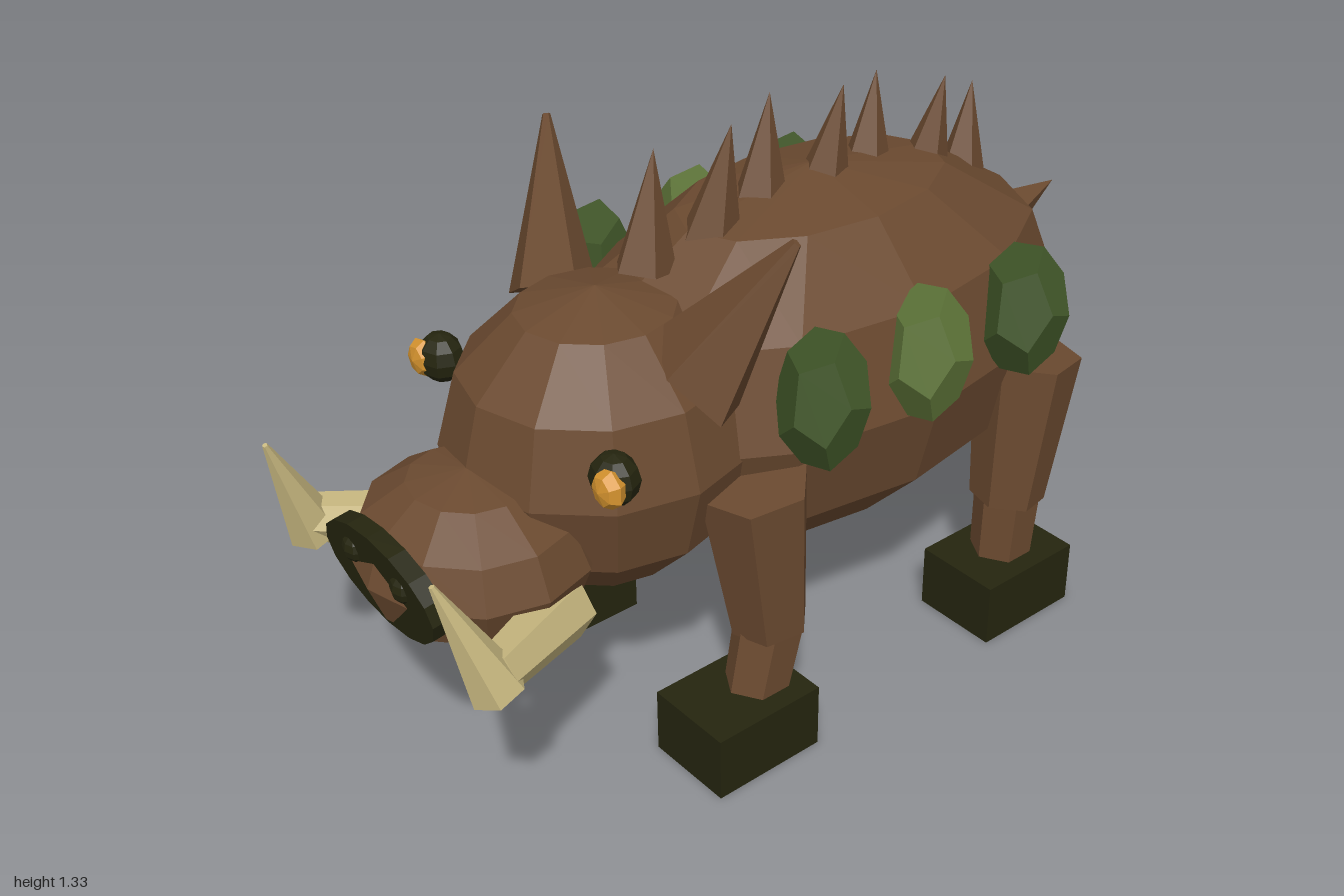
import * as THREE from 'three';

const V = (x, y, z) => new THREE.Vector3(x, y, z);

function material(name, color) {
  const m = new THREE.MeshStandardMaterial({ color });
  m.name = name;
  return m;
}

// Faceted normals for the low-poly look
function facet(geometry) {
  const g = geometry.index ? geometry.toNonIndexed() : geometry;
  g.computeVertexNormals();
  return g;
}

export function createModel() {
  const hide = material('brown hide', 0x6b4a30);
  const dark = material('dark hoof', 0x25250f);
  const moss = material('dark moss', 0x3d5226);
  const lightMoss = material('light moss', 0x5a7036);
  const ivory = material('ivory', 0xc8b880);
  const gold = material('gold eye', 0xd6942f);

  const model = new THREE.Group();
  model.name = 'boar';
  const boar = new THREE.Group();
  boar.name = 'boarParts';
  boar.position.x = -0.01;
  model.add(boar);

  function add(name, geometry, mat, pos) {
    const mesh = new THREE.Mesh(facet(geometry), mat);
    mesh.name = name;
    mesh.position.copy(pos);
    boar.add(mesh);
    return mesh;
  }

  const ball = (name, mat, pos, rx, ry, rz, w = 12, h = 6) =>
    add(name, new THREE.SphereGeometry(1, w, h).scale(rx, ry, rz), mat, pos);

  // Tapered limb from a to b; a zero end radius makes a spike
  function limb(name, mat, a, b, ra, rb, sides, flat = 1) {
    const dir = b.clone().sub(a);
    const geo = new THREE.CylinderGeometry(rb, ra, dir.length(), sides);
    geo.scale(1, 1, flat);
    const mesh = add(name, geo, mat, a.clone().add(b).multiplyScalar(0.5));
    mesh.quaternion.setFromUnitVectors(V(0, 1, 0), dir.normalize());
    return mesh;
  }

  // Trunk, head and snout
  ball('body', hide, V(0, 0.72, -0.2), 0.41, 0.43, 0.7);
  ball('head', hide, V(0, 0.712, 0.39), 0.33, 0.337, 0.345);
  ball('snout', hide, V(0, 0.57, 0.72), 0.27, 0.182, 0.25);

  // Nose pad and nostrils
  const pad = new THREE.CylinderGeometry(1, 1, 0.04, 16).rotateX(Math.PI / 2).scale(0.2, 0.112, 1);
  add('nosePad', pad, dark, V(0, 0.58, 0.925)).rotation.x = 0.13;

  // Spines along the back, alternately offset
  const spineTips = [1.285, 1.315, 1.325, 1.32, 1.295, 1.26, 1.19];
  spineTips.forEach((y, i) => {
    const z = 0.21 - i * 0.155;
    const side = i % 2 ? 1 : -1;
    limb('spine' + (i + 1), hide, V(side * 0.012, y - 0.25, z + 0.045), V(side * 0.03, y, z), 0.068, 0, 5);
  });

  limb('tail', hide, V(0, 0.825, -0.8), V(0, 0.865, -1), 0.07, 0, 5);

  for (const s of [1, -1]) {
    const tag = s > 0 ? 'left' : 'right';

    ball(tag + 'Nostril', dark, V(s * 0.09, 0.61, 0.94), 0.032, 0.032, 0.025, 8, 6);

    // Eye socket and iris
    ball(tag + 'EyeSocket', dark, V(s * 0.305, 0.82, 0.58), 0.056, 0.056, 0.05, 8, 6);
    const iris = new THREE.SphereGeometry(1, 7, 4).rotateX(Math.PI / 2).scale(0.042, 0.045, 0.028);
    add(tag + 'Iris', iris, gold, V(s * 0.327, 0.82, 0.61));

    limb(tag + 'Ear', hide, V(s * 0.245, 0.92, 0.33), V(s * 0.405, 1.24, 0.21), 0.135, 0.012, 5, 0.6);

    // Tusk: thick root and upturned point
    limb(tag + 'TuskRoot', ivory, V(s * 0.2, 0.48, 0.64), V(s * 0.345, 0.535, 0.91), 0.07, 0.052, 6);
    limb(tag + 'TuskPoint', ivory, V(s * 0.345, 0.5, 0.9), V(s * 0.31, 0.768, 1), 0.06, 0.006, 6);

    // Mossy lumps on the flank
    [0.125, -0.165, -0.46].forEach((z, i) => {
      const geo = new THREE.DodecahedronGeometry(1).scale(0.115, 0.15, 0.08);
      const lump = add(tag + 'MossLump' + (i + 1), geo, i === 1 ? lightMoss : moss, V(s * 0.395, 0.86, z));
      lump.rotation.set(-0.32, 0, s * 0.22);
    });

    // Legs: [name, top z, knee z, ankle z, hoof z]
    for (const [name, top, knee, ankle, hoof] of [
      ['Front', 0.24, 0.2, 0.24, 0.29],
      ['Back', -0.585, -0.545, -0.535, -0.527],
    ]) {
      const part = tag + name;
      limb(part + 'Thigh', hide, V(s * 0.32, 0.67, top), V(s * 0.325, 0.3, knee), 0.122, 0.088, 6);
      limb(part + 'Shin', hide, V(s * 0.325, 0.31, knee), V(s * 0.325, 0.13, ankle), 0.078, 0.072, 6);
      add(part + 'Hoof', new THREE.BoxGeometry(0.215, 0.155, 0.278), dark, V(s * 0.327, 0.0775, hoof));
    }
  }
  return model;
}
